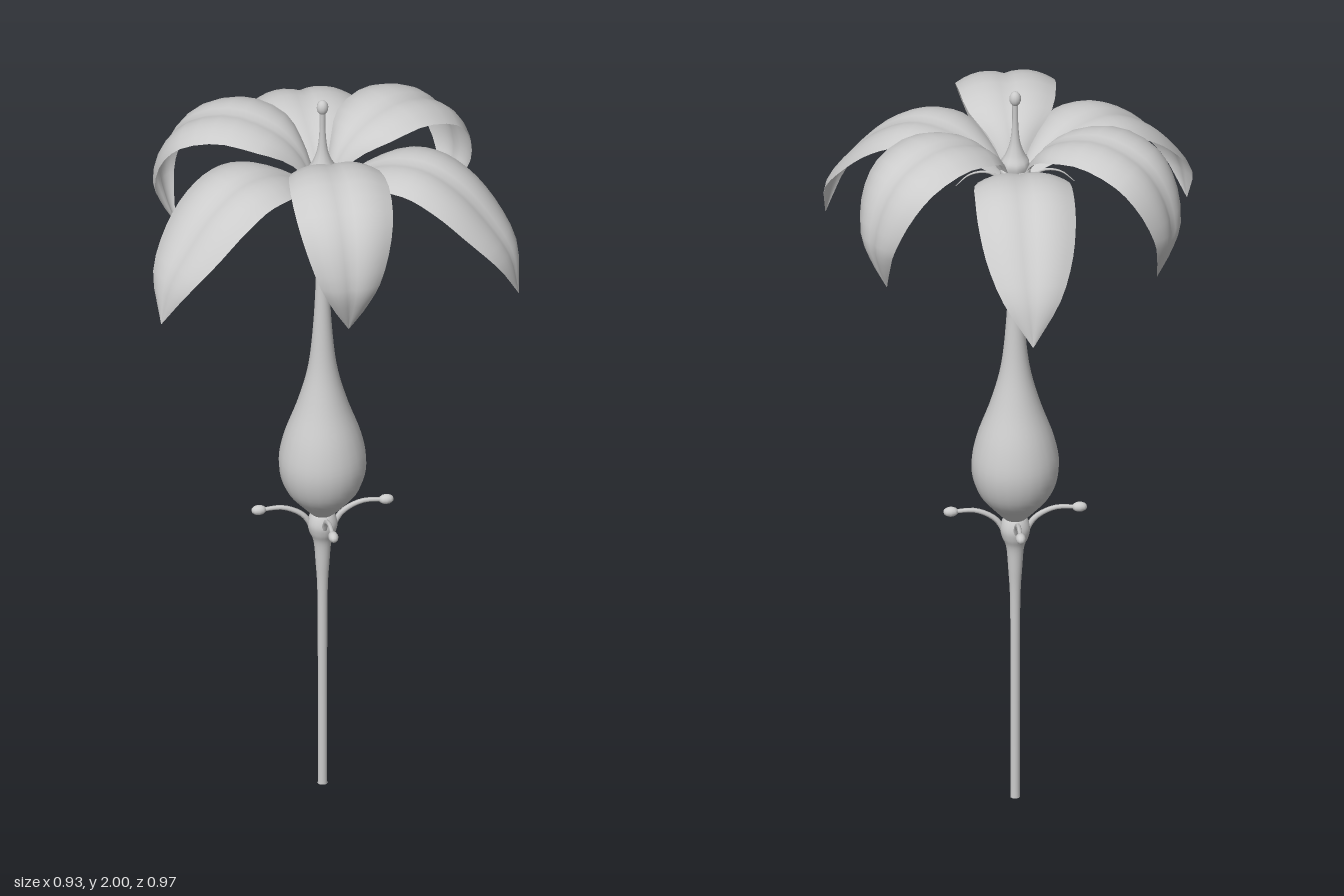
import * as THREE from 'three';

const material = new THREE.MeshStandardMaterial({ color: 0xcccccc, side: THREE.DoubleSide });
const v3 = (p) => new THREE.Vector3(...p);

function addMesh(parent, name, geometry) {
  const mesh = new THREE.Mesh(geometry, material);
  mesh.name = name;
  parent.add(mesh);
  return mesh;
}

// Turned part from [radius, y] points, smoothed with a spline
function turned(points, steps, sides = 20) {
  const curve = new THREE.SplineCurve(points.map((p) => new THREE.Vector2(...p)));
  const profile = curve.getPoints(steps).map((p) => p.set(Math.max(p.x, 0), Math.max(p.y, 0)));
  return new THREE.LatheGeometry(profile, sides);
}

// Petal from stations [radial distance, height, half width], arched across with a crease down the middle
function petalGeometry(stations) {
  const curve = new THREE.CatmullRomCurve3(stations.map(v3));
  const geometry = new THREE.PlaneGeometry(2, 1, 12, 20);
  const pos = geometry.attributes.position;
  for (let i = 0; i < pos.count; i++) {
    const u = pos.getX(i);
    const t = 0.5 - pos.getY(i);
    const p = curve.getPoint(t);
    const d = curve.getTangent(t);
    const len = Math.hypot(d.x, d.y) || 1;
    const lift = (0.045 * Math.abs(u) - 0.065 * u * u) * Math.sin(Math.PI * t);
    pos.setXYZ(i, u * Math.max(p.z, 0.001), p.y + lift * d.x / len, p.x - lift * d.y / len);
  }
  geometry.computeVertexNormals();
  return geometry;
}

// Tube along a path whose radius shrinks towards its end
function taperedTube(points, r0, r1, segments = 12, sides = 6) {
  const curve = new THREE.CatmullRomCurve3(points.map(v3));
  const geometry = new THREE.TubeGeometry(curve, segments, r0, sides);
  const pos = geometry.attributes.position;
  const p = new THREE.Vector3();
  for (let i = 0; i < pos.count; i++) {
    const t = Math.floor(i / (sides + 1)) / segments;
    const centre = curve.getPointAt(t);
    p.fromBufferAttribute(pos, i).sub(centre).multiplyScalar(1 + (r1 / r0 - 1) * t).add(centre);
    pos.setXYZ(i, p.x, p.y, p.z);
  }
  return geometry;
}

export function createModel() {
  const model = new THREE.Group();
  model.name = 'flower';
  const plant = new THREE.Group();
  plant.name = 'plant';
  plant.position.z = 0.04;
  model.add(plant);

  // Stem with its swollen cup
  addMesh(plant, 'stem', turned([
    [0, 0], [0.006, 0], [0.012, 0], [0.012, 0.02], [0.012, 0.3], [0.013, 0.55], [0.018, 0.65],
    [0.023, 0.71], [0.034, 0.74], [0.038, 0.765], [0.03, 0.79], [0.015, 0.805], [0, 0.81],
  ], 60));

  // Bulb drawn out into a long neck, opening into a small cup
  addMesh(plant, 'bulb', turned([
    [0.02, 0.785], [0.05, 0.815], [0.094, 0.87], [0.111, 0.94], [0.098, 1.02], [0.063, 1.12],
    [0.037, 1.22], [0.024, 1.34], [0.017, 1.48], [0.015, 1.62], [0.02, 1.69],
    [0.034, 1.735], [0.038, 1.765], [0.034, 1.785], [0, 1.795],
  ], 60, 24));

  // Style flaring out at its foot, and the stigma on top
  addMesh(plant, 'style', turned([
    [0.034, 1.775], [0.037, 1.8], [0.024, 1.825], [0.013, 1.86], [0.008, 1.91], [0.008, 1.97],
  ], 20, 10));
  const stigma = addMesh(plant, 'stigma', new THREE.SphereGeometry(0.015, 12, 10));
  stigma.scale.y = 1.33;
  stigma.position.y = 1.98;

  // Two whorls of three petals, the inner one higher and shorter
  const inner = petalGeometry([
    [0.025, 1.765, 0.015], [0.065, 1.835, 0.055], [0.13, 1.887, 0.105], [0.24, 1.91, 0.124],
    [0.35, 1.872, 0.123], [0.41, 1.8, 0.107], [0.437, 1.7, 0.075], [0.422, 1.63, 0.042], [0.395, 1.562, 0.001],
  ]);
  const outer = petalGeometry([
    [0.025, 1.755, 0.012], [0.1, 1.815, 0.07], [0.19, 1.855, 0.118], [0.28, 1.856, 0.125],
    [0.365, 1.815, 0.123], [0.44, 1.745, 0.108], [0.505, 1.655, 0.07], [0.528, 1.545, 0.001],
  ]);
  for (let i = 0; i < 3; i++) {
    const angle = (i * 2 * Math.PI) / 3;
    addMesh(plant, 'innerPetal', inner).rotation.y = angle;
    addMesh(plant, 'outerPetal', outer).rotation.y = angle + Math.PI;
  }

  // Four stamens around the stem cup and four fine sepals under the petals
  const filament = taperedTube([[0, 0.75, 0.025], [0, 0.79, 0.05], [0, 0.816, 0.1], [0, 0.815, 0.16]], 0.008, 0.005);
  const anther = new THREE.SphereGeometry(0.013, 10, 8).scale(1, 1, 1.5);
  const sepal = taperedTube([[0, 1.745, 0.025], [0, 1.775, 0.07], [0, 1.77, 0.115], [0, 1.74, 0.15]], 0.005, 0.001);
  for (let i = 0; i < 4; i++) {
    const stamen = new THREE.Group();
    stamen.name = 'stamen';
    stamen.rotation.y = (i * Math.PI) / 2;
    addMesh(stamen, 'filament', filament);
    addMesh(stamen, 'anther', anther).position.set(0, 0.815, 0.163);
    plant.add(stamen);
    addMesh(plant, 'sepal', sepal).rotation.y = (i * Math.PI) / 2;
  }
  return model;
}
